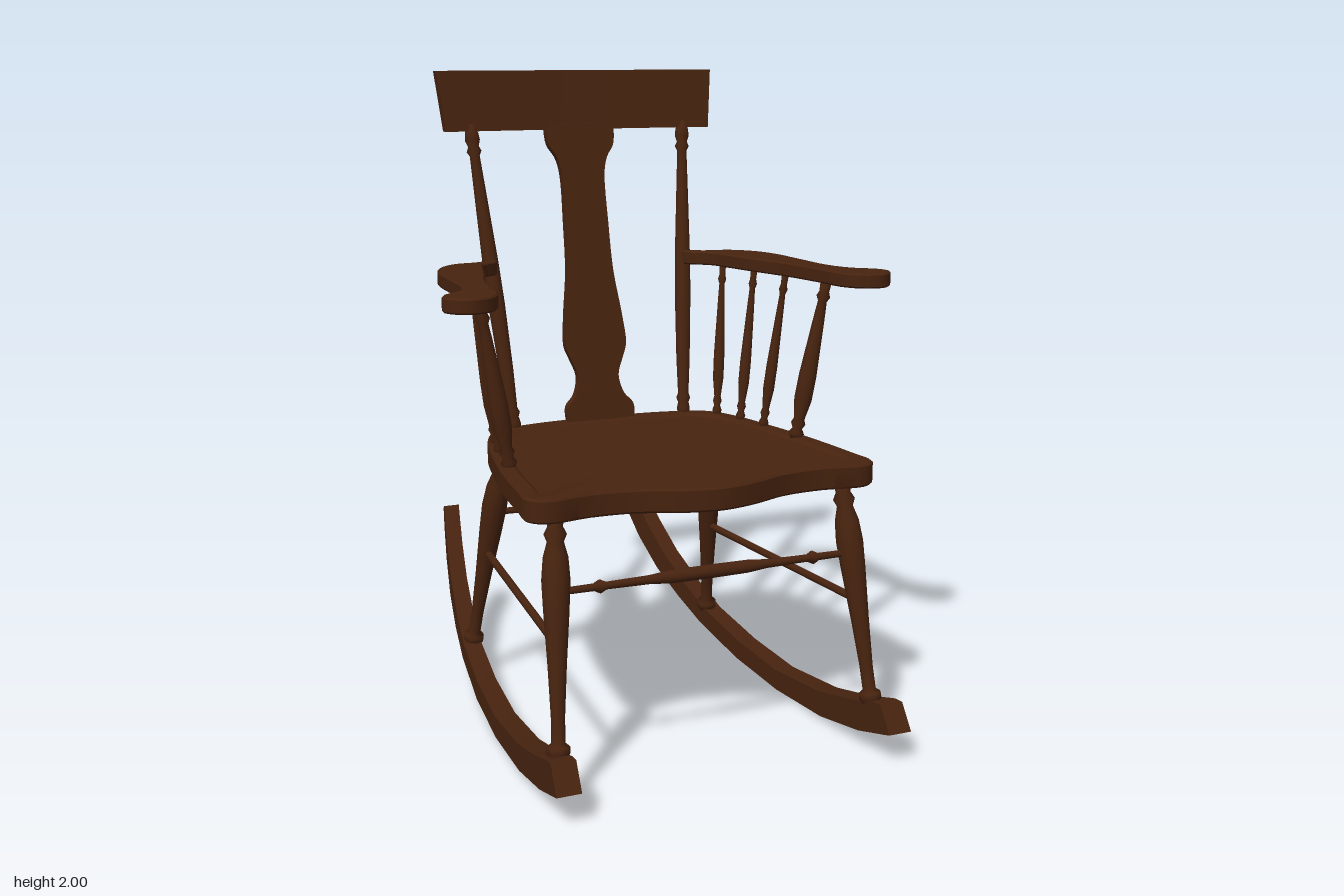
import * as THREE from 'three';
import { toCreasedNormals } from 'three/addons/utils/BufferGeometryUtils.js';

const V = (x, y, z) => new THREE.Vector3(x, y, z);

export function createModel() {
  const group = new THREE.Group();
  const wood = new THREE.MeshStandardMaterial({ color: 0x47230f });
  wood.name = 'dark walnut';

  const add = (name, geometry) => {
    const mesh = new THREE.Mesh(geometry, wood);
    mesh.name = name;
    group.add(mesh);
    return mesh;
  };

  // Closed skin over rings that run right-handed about the stacking direction
  const loft = (rings, crease) => {
    const pos = [];
    const tri = (...pts) => pts.forEach(p => pos.push(p.x, p.y, p.z));
    const n = rings[0].length;
    for (let i = 0; i < rings.length - 1; i++) {
      for (let j = 0; j < n; j++) {
        const k = (j + 1) % n, a = rings[i], b = rings[i + 1];
        tri(a[j], a[k], b[k]);
        tri(a[j], b[k], b[j]);
      }
    }
    const centre = r => r.reduce((s, p) => s.add(p), V(0, 0, 0)).divideScalar(n);
    const first = rings[0], last = rings[rings.length - 1];
    const c0 = centre(first), c1 = centre(last);
    for (let j = 0; j < n; j++) {
      const k = (j + 1) % n;
      tri(c0, first[k], first[j]);
      tri(c1, last[j], last[k]);
    }
    const g = new THREE.BufferGeometry();
    g.setAttribute('position', new THREE.Float32BufferAttribute(pos, 3));
    return toCreasedNormals(g, crease);
  };

  // Turned part from a to b; the profile holds [radius, fraction of length]
  const turned = (name, a, b, profile, scale = 1) => {
    const dir = b.clone().sub(a), len = dir.length();
    const pts = profile.map(([r, t]) => new THREE.Vector2(r * scale, t * len));
    pts.unshift(new THREE.Vector2(0, 0));
    pts.push(new THREE.Vector2(0, len));
    const mesh = add(name, new THREE.LatheGeometry(pts, 14));
    mesh.position.copy(a);
    mesh.quaternion.setFromUnitVectors(V(0, 1, 0), dir.normalize());
  };

  const legProfile = [[0.018, 0], [0.02, 0.03], [0.034, 0.06], [0.033, 0.085], [0.02, 0.1],
    [0.02, 0.2], [0.027, 0.4], [0.037, 0.62], [0.041, 0.74], [0.036, 0.83], [0.024, 0.89],
    [0.033, 0.92], [0.022, 0.95], [0.028, 1]];
  const postProfile = [[0.018, 0], [0.022, 0.03], [0.018, 0.05], [0.024, 0.065], [0.018, 0.08],
    [0.023, 0.2], [0.027, 0.42], [0.026, 0.55], [0.019, 0.8], [0.016, 0.9], [0.024, 0.915],
    [0.017, 0.93], [0.024, 0.95], [0.022, 0.97], [0.015, 1]];
  const armSpindleProfile = [[0.01, 0], [0.016, 0.04], [0.01, 0.07], [0.015, 0.1], [0.011, 0.13],
    [0.018, 0.25], [0.018, 0.4], [0.011, 0.78], [0.009, 0.86], [0.014, 0.89], [0.01, 0.92], [0.012, 1]];
  const stretcherProfile = [[0.01, 0], [0.011, 0.12], [0.02, 0.14], [0.011, 0.16], [0.013, 0.3],
    [0.019, 0.37], [0.02, 0.5], [0.019, 0.63], [0.013, 0.7], [0.011, 0.84], [0.02, 0.86],
    [0.011, 0.88], [0.01, 1]];

  // Rocker cross-sections: [bottom z, bottom y, top z, top y]
  const rockerSections = [[0.835, 0.1, 0.785, 0.175], [0.81, 0.092, 0.75, 0.172],
    [0.67, 0.05, 0.62, 0.132], [0.46, 0.012, 0.44, 0.09], [0.19, 0, 0.18, 0.066],
    [-0.07, 0.02, -0.06, 0.085], [-0.31, 0.07, -0.28, 0.128], [-0.46, 0.125, -0.42, 0.185],
    [-0.6, 0.192, -0.56, 0.262], [-0.72, 0.285, -0.67, 0.35], [-0.8, 0.375, -0.74, 0.42],
    [-0.835, 0.44, -0.785, 0.462]];
  const rockerX = z => 0.472 + 0.082 * z - 0.055 * z * z + 0.03 * z * z * z;

  // Arm outline on the left side: [x, z]
  const armOutline = [[0.33, -0.325], [0.4, -0.285], [0.48, -0.27], [0.546, -0.207], [0.58, -0.11],
    [0.59, 0.045], [0.6, 0.2], [0.635, 0.286], [0.695, 0.34], [0.708, 0.39], [0.66, 0.443],
    [0.59, 0.432], [0.546, 0.375], [0.53, 0.265], [0.5, 0.11], [0.45, -0.05], [0.42, -0.16],
    [0.395, -0.235], [0.335, -0.285]];

  // Arm spindles: [bottom x, bottom z, top x, top z, thickness]
  const armSpindles = [[0.475, 0.238, 0.565, 0.255, 1.55], [0.45, 0.065, 0.52, 0.07, 1],
    [0.425, -0.05, 0.485, -0.082, 1], [0.39, -0.155, 0.44, -0.225, 1]];

  for (const s of [1, -1]) {
    const side = s > 0 ? 'left' : 'right';

    // Rocker, narrowing and turning inward to the back
    const rings = rockerSections.map(([bz, by, tz, ty]) => {
      const w = 0.032 + 0.006 * bz;
      const xb = rockerX(bz), xt = rockerX(tz);
      const ring = [V(s * (xb - w), by, bz), V(s * (xt - w), ty, tz),
        V(s * (xt + w), ty, tz), V(s * (xb + w), by, bz)];
      return s > 0 ? ring : ring.reverse();
    });
    add(side + 'Rocker', loft(rings, 0.5));

    // Legs, side stretcher and back post
    turned(side + 'FrontLeg', V(s * 0.502, 0.12, 0.705), V(s * 0.455, 0.81, 0.565), legProfile);
    turned(side + 'BackLeg', V(s * 0.437, 0.09, -0.318), V(s * 0.366, 0.81, -0.157), legProfile);
    turned(side + 'SideStretcher', V(s * 0.48, 0.455, 0.635), V(s * 0.402, 0.455, -0.235),
      [[0.012, 0], [0.012, 1]]);
    turned(side + 'BackPost', V(s * 0.3, 0.85, -0.228), V(s * 0.373, 1.83, -0.418), postProfile);

    // Arm rest
    const curve = new THREE.CatmullRomCurve3(armOutline.map(([x, z]) => V(s * x, -z, 0)), true);
    const shape = new THREE.Shape(curve.getPoints(60).slice(0, -1).map(p => new THREE.Vector2(p.x, p.y)));
    const arm = new THREE.ExtrudeGeometry(shape, { depth: 0.035, bevelThickness: 0.005,
      bevelSize: 0.005, bevelOffset: -0.005, bevelSegments: 1 });
    arm.rotateX(-Math.PI / 2).translate(0, 1.365, 0);
    add(side + 'Arm', toCreasedNormals(arm, 0.6));

    // Spindles under the arm
    armSpindles.forEach(([bx, bz, tx, tz, k]) =>
      turned(side + 'ArmSpindle', V(s * bx, 0.86, bz), V(s * tx, 1.37, tz), armSpindleProfile, k));
  }

  // Cross stretchers between the legs
  turned('frontStretcher', V(-0.47, 0.597, 0.608), V(0.47, 0.597, 0.608), stretcherProfile);
  turned('backStretcher', V(-0.387, 0.597, -0.205), V(0.387, 0.597, -0.205), stretcherProfile);

  // Seat with a serpentine front and a shallow dished top
  const half = [[0, 0.69], [0.11, 0.67], [0.24, 0.622], [0.37, 0.612], [0.5, 0.628], [0.546, 0.59],
    [0.541, 0.5], [0.52, 0.3], [0.48, 0.08], [0.435, -0.1], [0.38, -0.2], [0.26, -0.245], [0, -0.264]];
  const outline = [...half, ...half.slice(1, -1).reverse().map(([x, z]) => [-x, z])];
  const seatCurve = new THREE.CatmullRomCurve3(outline.map(([x, z]) => V(x, 0, z)), true);
  const seatPts = seatCurve.getPoints(96).slice(0, -1);
  const seatRing = (y, k) => seatPts.map(p => V(p.x * k, y, 0.2 + (p.z - 0.2) * k));
  add('seat', loft([seatRing(0.8, 0.99), seatRing(0.806, 1), seatRing(0.864, 1), seatRing(0.87, 0.988),
    seatRing(0.87, 0.91), seatRing(0.861, 0.885), seatRing(0.859, 0.5)], 0.5));

  // Vase-shaped back splat: [half width, y]
  const splatHalf = [[0.117, 0.86], [0.116, 0.915], [0.086, 0.95], [0.071, 1.01], [0.09, 1.065],
    [0.106, 1.11], [0.1, 1.2], [0.08, 1.35], [0.075, 1.5], [0.075, 1.67], [0.088, 1.72],
    [0.113, 1.76], [0.12, 1.83]];
  const edge = new THREE.CatmullRomCurve3(splatHalf.map(([x, y]) => V(x, y, 0)))
    .getPoints(48).map(p => new THREE.Vector2(p.x, p.y));
  const splatShape = new THREE.Shape([...edge,
    ...edge.slice().reverse().map(p => new THREE.Vector2(-p.x, p.y))]);
  const splat = new THREE.ExtrudeGeometry(splatShape, { depth: 0.03, bevelEnabled: false });
  const sp = splat.attributes.position;
  for (let i = 0; i < sp.count; i++) {
    sp.setZ(i, sp.getZ(i) - 0.25 - (sp.getY(i) - 0.87) * 0.197);
  }
  add('backSplat', toCreasedNormals(splat, 0.5));

  // Top rail: leaning back, bowed, wider at the top
  const rail = new THREE.BoxGeometry(2, 0.19, 0.035, 16, 1, 1);
  const rp = rail.attributes.position;
  for (let i = 0; i < rp.count; i++) {
    const u = rp.getX(i), t = rp.getY(i) / 0.19 + 0.5;
    rp.setXYZ(i, u * (0.46 + 0.02 * t), 1.81 + 0.19 * t,
      rp.getZ(i) - 0.425 - 0.03 * t + 0.018 * (u * u - 0.3));
  }
  add('topRail', toCreasedNormals(rail, 0.5));

  return group;
}
